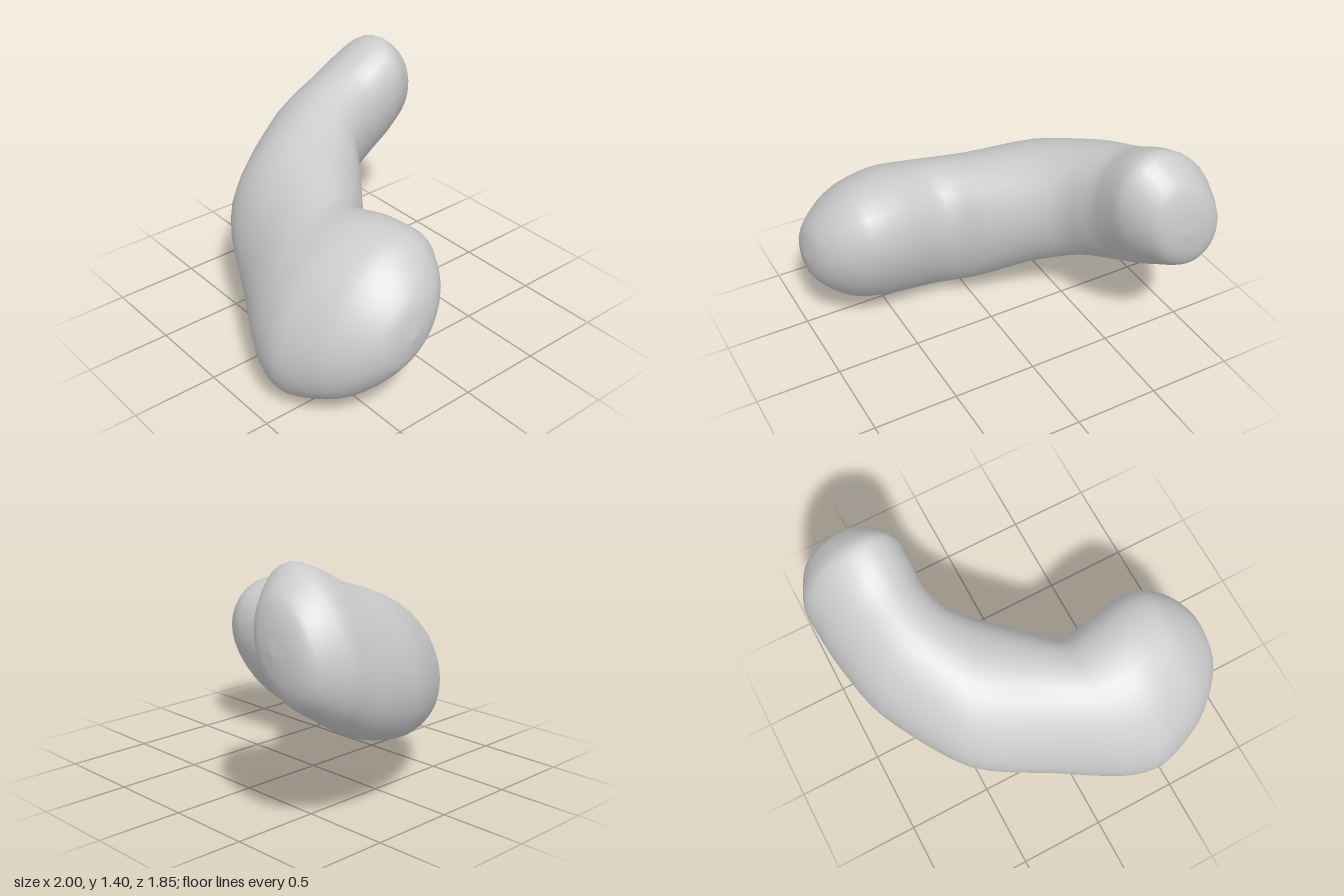
import * as THREE from 'three';

// Stations along the bent body: inner edge x, z, outer edge x, z, bottom y, top y, lean of the section
const STATIONS = [
  [-0.67, -0.925, -0.67, -0.925, 1.0, 1.0, 0.25],
  [-0.55, -0.905, -0.83, -0.91, 0.84, 1.15, 0.25],
  [-0.47, -0.855, -0.92, -0.86, 0.735, 1.28, 0.27],
  [-0.375, -0.71, -1.0, -0.7, 0.625, 1.4, 0.3],
  [-0.365, -0.58, -0.995, -0.56, 0.54, 1.365, 0.29],
  [-0.355, -0.45, -0.97, -0.36, 0.46, 1.28, 0.27],
  [-0.28, -0.29, -0.88, -0.02, 0.37, 1.2, 0.25],
  [-0.14, -0.19, -0.57, 0.45, 0.24, 1.1, 0.25],
  [0.06, -0.04, -0.12, 0.69, 0.09, 1.01, 0.28],
  [0.22, 0.075, 0.24, 0.875, 0.005, 0.97, 0.32],
  [0.5, 0.035, 0.47, 0.925, 0.03, 1.01, 0.37],
  [0.71, 0.03, 0.73, 0.83, 0.13, 0.99, 0.37],
  [0.87, 0.12, 0.87, 0.72, 0.26, 0.88, 0.36],
  [0.965, 0.25, 0.965, 0.59, 0.4, 0.75, 0.33],
  [0.998, 0.41, 0.998, 0.41, 0.57, 0.57, 0.3],
];
const SIDES = 32;
const RINGS = 56;

// Turns one station into a centre and the two half axes of its ellipse
function section([ix, iz, ox, oz, y0, y1, lean]) {
  const half = new THREE.Vector3((ox - ix) / 2, 0, (oz - iz) / 2);
  return {
    centre: new THREE.Vector3((ix + ox) / 2, (y0 + y1) / 2, (iz + oz) / 2),
    across: half.clone().multiplyScalar(Math.sqrt(1 - lean * lean)),
    up: half.clone().multiplyScalar(-lean).setY((y1 - y0) / 2),
  };
}

function bodyGeometry() {
  const sections = STATIONS.map(section);
  const smooth = (key) => new THREE.CatmullRomCurve3(sections.map((s) => s[key]), false, 'catmullrom', 0.4);
  const centre = smooth('centre');
  const across = smooth('across');
  const up = smooth('up');
  const positions = [];
  const indices = [];

  for (let i = 0; i <= RINGS; i++) {
    const t = i / RINGS;
    const c = centre.getPoint(t);
    const u = across.getPoint(t);
    const v = up.getPoint(t);
    for (let j = 0; j < SIDES; j++) {
      const a = (j / SIDES) * Math.PI * 2;
      const p = c.clone().addScaledVector(u, Math.cos(a)).addScaledVector(v, Math.sin(a));
      positions.push(p.x, p.y, p.z);
      if (i === RINGS) continue;
      const p0 = i * SIDES + j;
      const p1 = i * SIDES + ((j + 1) % SIDES);
      // The first and last rings are points, so they take one triangle per side
      if (i < RINGS - 1) indices.push(p0 + SIDES, p1 + SIDES, p1);
      if (i > 0) indices.push(p0, p0 + SIDES, p1);
    }
  }

  const geometry = new THREE.BufferGeometry();
  geometry.setAttribute('position', new THREE.Float32BufferAttribute(positions, 3));
  geometry.setIndex(indices);
  geometry.computeVertexNormals();
  return geometry;
}

export function createModel() {
  const model = new THREE.Group();
  model.name = 'bean';
  const body = new THREE.Mesh(bodyGeometry(), new THREE.MeshStandardMaterial({ color: 0xcccccc }));
  body.name = 'beanBody';
  model.add(body);
  return model;
}
